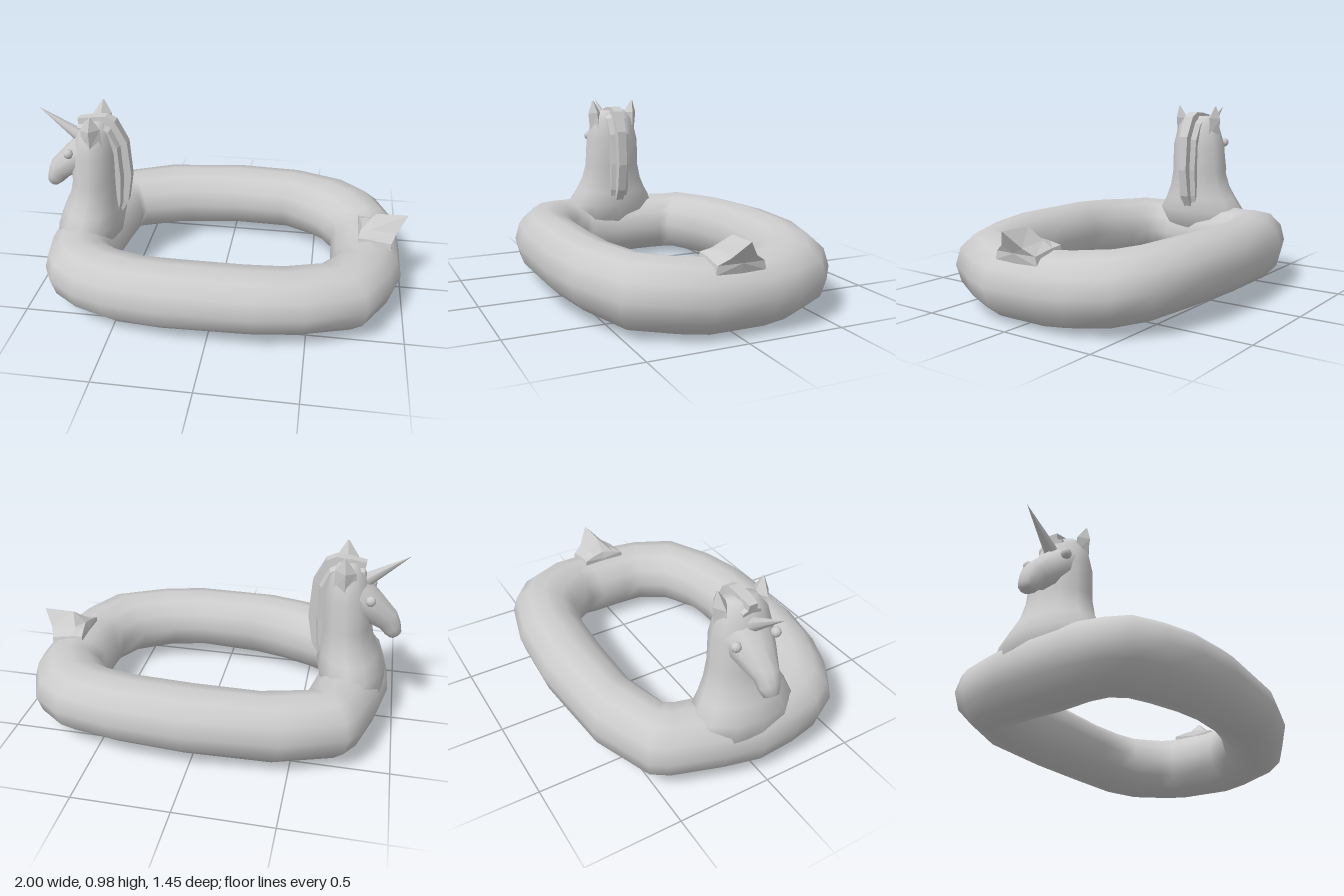
import * as THREE from 'three';

const V = (x, y, z) => new THREE.Vector3(x, y, z);
const smooth = new THREE.MeshStandardMaterial({ color: 0xcccccc });
const faceted = new THREE.MeshStandardMaterial({ color: 0xcccccc, flatShading: true });

// Oval cross-section: a and b are opposite points, w is the half-width vector.
function oval(a, b, w, n = 12) {
  const c = a.clone().add(b).multiplyScalar(0.5);
  const u = a.clone().sub(b).multiplyScalar(0.5);
  return Array.from({ length: n }, (_, i) => {
    const t = (i / n) * Math.PI * 2;
    return c.clone().addScaledVector(u, Math.cos(t)).addScaledVector(w, Math.sin(t));
  });
}

// Skin over cross-sections; either joined into a loop or capped at both ends.
function loft(sections, loop = false) {
  const n = sections[0].length, m = sections.length;
  const pts = sections.flat(), faces = [];
  for (let i = 0; i < (loop ? m : m - 1); i++) {
    for (let j = 0; j < n; j++) {
      const k = (j + 1) % n, next = (i + 1) % m;
      const a = i * n + j, b = i * n + k, c = next * n + k, d = next * n + j;
      faces.push([a, b, c], [a, c, d]);
    }
  }
  if (!loop) {
    for (const end of [0, m - 1]) {
      const centre = V(0, 0, 0);
      sections[end].forEach((p) => centre.addScaledVector(p, 1 / n));
      pts.push(centre);
      for (let j = 0; j < n; j++) {
        const f = [end * n + j, end * n + ((j + 1) % n), pts.length - 1];
        faces.push(end ? f : f.reverse());
      }
    }
  }
  // Turn the faces outward if the enclosed volume comes out negative.
  let volume = 0;
  for (const [a, b, c] of faces) volume += pts[a].dot(pts[b].clone().cross(pts[c]));
  if (volume < 0) faces.forEach((f) => f.reverse());
  const g = new THREE.BufferGeometry().setFromPoints(pts);
  g.setIndex(faces.flat());
  g.computeVertexNormals();
  return g;
}

export function createModel() {
  const model = new THREE.Group();
  const add = (name, geometry, material = smooth) => {
    const mesh = new THREE.Mesh(geometry, material);
    mesh.name = name;
    model.add(mesh);
    return mesh;
  };

  // Inflated ring: outer x, z, inner x, z, bottom y, top y
  const stations = [
    [-0.96, 0.0, -0.57, 0.0, 0.0, 0.36],
    [-0.95, 0.2, -0.59, 0.17, 0.01, 0.37],
    [-0.92, 0.37, -0.57, 0.22, 0.02, 0.37],
    [-0.85, 0.5, -0.53, 0.27, 0.02, 0.38],
    [-0.71, 0.6, -0.44, 0.31, 0.02, 0.38],
    [-0.53, 0.67, -0.28, 0.36, 0.025, 0.39],
    [-0.26, 0.715, -0.14, 0.37, 0.04, 0.4],
    [0.24, 0.72, 0.14, 0.37, 0.055, 0.4],
    [0.5, 0.67, 0.32, 0.35, 0.045, 0.39],
    [0.8, 0.54, 0.5, 0.29, 0.02, 0.38],
    [0.93, 0.31, 0.59, 0.17, 0.01, 0.37],
    [0.98, 0.16, 0.6, 0.08, 0.0, 0.36],
    [0.98, -0.16, 0.6, -0.08, 0.0, 0.36],
    [0.96, -0.3, 0.6, -0.16, 0.01, 0.37],
    [0.87, -0.5, 0.51, -0.28, 0.02, 0.38],
    [0.71, -0.63, 0.42, -0.32, 0.035, 0.39],
    [0.4, -0.71, 0.3, -0.355, 0.055, 0.4],
    [0.03, -0.73, 0.0, -0.37, 0.05, 0.4],
    [-0.46, -0.68, -0.28, -0.365, 0.03, 0.39],
    [-0.78, -0.55, -0.52, -0.3, 0.02, 0.38],
    [-0.84, -0.46, -0.53, -0.25, 0.02, 0.37],
    [-0.92, -0.2, -0.55, -0.14, 0.01, 0.37],
  ];
  add('ring', loft(stations.map(([ox, oz, ix, iz, lo, hi]) => {
    const y = (lo + hi) / 2;
    return oval(V(ox, y, oz), V(ix, y, iz), V(0, (hi - lo) / 2, 0));
  }), true));

  // Neck: y, front x, back x, half width
  const neck = [
    [0.18, -0.94, -0.6, 0.32],
    [0.34, -0.93, -0.565, 0.28],
    [0.42, -0.895, -0.575, 0.23],
    [0.49, -0.86, -0.58, 0.195],
    [0.58, -0.84, -0.58, 0.172],
    [0.74, -0.83, -0.575, 0.165],
    [0.86, -0.79, -0.6, 0.135],
    [0.92, -0.74, -0.64, 0.08],
  ];
  add('neck', loft(neck.map(([y, f, b, w]) => oval(V(f, y, 0), V(b, y, 0), V(0, 0, w)))));

  // Head: brow x, y, jaw x, y, half width
  const head = [
    [-0.67, 0.92, -0.62, 0.68, 0.13],
    [-0.78, 0.845, -0.76, 0.62, 0.135],
    [-0.87, 0.755, -0.83, 0.585, 0.1],
    [-0.96, 0.66, -0.875, 0.56, 0.065],
    [-0.985, 0.6, -0.905, 0.53, 0.057],
    [-0.995, 0.545, -0.935, 0.51, 0.04],
  ];
  add('head', loft(head.map(([bx, by, jx, jy, w]) => oval(V(bx, by, 0), V(jx, jy, 0), V(0, 0, w), 10))));

  // Horn, pointing up and forward
  const hornBase = V(-0.76, 0.8, 0), hornTip = V(-1, 0.97, 0);
  const hornAxis = hornTip.clone().sub(hornBase);
  const horn = add('horn', new THREE.ConeGeometry(0.042, hornAxis.length(), 7));
  horn.position.copy(hornBase).add(hornTip).multiplyScalar(0.5);
  horn.quaternion.setFromUnitVectors(V(0, 1, 0), hornAxis.normalize());

  // Eyes and ears, mirrored
  for (const s of [1, -1]) {
    const side = s > 0 ? 'left' : 'right';
    const eye = add(side + 'Eye', new THREE.SphereGeometry(0.027, 8, 6));
    eye.position.set(-0.822, 0.755, s * 0.112);
    const ear = [
      [[-0.75, 0.8], [-0.63, 0.8], 0.11, 0.035],
      [[-0.74, 0.9], [-0.635, 0.91], 0.115, 0.04],
      [[-0.685, 0.98], [-0.675, 0.98], 0.127, 0.004],
    ];
    add(side + 'Ear', loft(ear.map(([f, b, z, w]) =>
      oval(V(...f, s * z), V(...b, s * z), V(0, 0, w), 4))), faceted);
  }

  // Mane: outer x, y, inner x, y, half width, running from forelock to ring
  const mane = [
    [-0.785, 0.925, -0.77, 0.82, 0.05],
    [-0.7, 0.94, -0.69, 0.82, 0.065],
    [-0.63, 0.945, -0.67, 0.82, 0.065],
    [-0.58, 0.92, -0.65, 0.8, 0.065],
    [-0.52, 0.8, -0.64, 0.75, 0.06],
    [-0.508, 0.6, -0.64, 0.6, 0.055],
    [-0.535, 0.44, -0.63, 0.44, 0.055],
    [-0.575, 0.37, -0.62, 0.36, 0.05],
  ];
  add('mane', loft(mane.map(([ox, oy, ix, iy, w]) => {
    const at = (t, z) => V(ix + (ox - ix) * t, iy + (oy - iy) * t, z);
    return [at(0, w), at(0.6, w), at(0.7, w * 0.5), at(1, w * 0.45),
      at(1, -w * 0.45), at(0.7, -w * 0.5), at(0.6, -w), at(0, -w)];
  })), faceted);

  // Tail: a ridged tuft whose crest sweeps back past its skirt
  const tuft = (base, shoulder, crest, skirtY, shoulderY, crestY) => [
    V(base, skirtY, 0.13), V(base, skirtY + 0.045, 0.12), V(shoulder, shoulderY, 0.065),
    V(crest, crestY, 0), V(shoulder, shoulderY, -0.065),
    V(base, skirtY + 0.045, -0.12), V(base, skirtY, -0.13), V(base, skirtY - 0.02, 0),
  ];
  add('tail', loft([
    tuft(0.74, 0.75, 0.76, 0.33, 0.39, 0.4),
    tuft(0.8, 0.8, 0.83, 0.325, 0.4, 0.463),
    tuft(0.915, 0.94, 1.0, 0.305, 0.385, 0.466),
  ]), faceted);

  return model;
}
